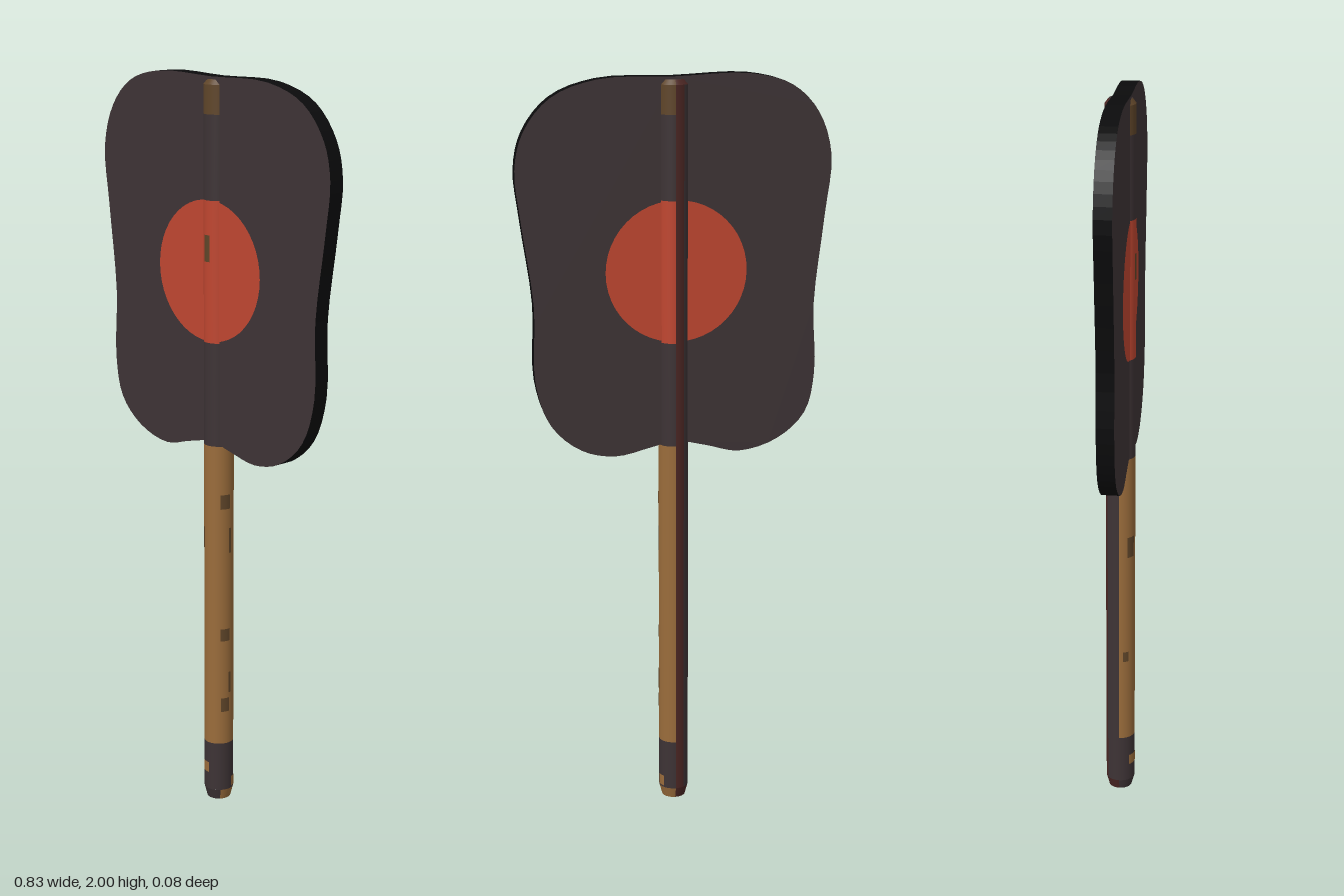
import * as THREE from 'three';

const PI = Math.PI;
const material = (name, color, side = THREE.FrontSide) => {
  const m = new THREE.MeshStandardMaterial({ color, side });
  m.name = name;
  return m;
};

export function createModel() {
  const group = new THREE.Group();
  const charcoal = material('charcoal lacquer', 0x3d3335);
  const black = material('black edge', 0x0b0b0c);
  const red = material('vermilion', 0xbf4630);
  const wood = material('golden wood', 0x9a6c3b);
  const brown = material('worn brown', 0x5f4529);
  const maroon = material('dark maroon', 0x4b2623);

  const add = (name, geometry, mat, x = 0, y = 0, z = 0) => {
    const mesh = new THREE.Mesh(geometry, mat);
    mesh.name = name;
    mesh.position.set(x, y, z);
    group.add(mesh);
    return mesh;
  };

  // Fan paddle: wavy outline, slightly thick, with a black rim
  const outline = [
    [-0.2, 2.0], [0, 1.995], [0.2, 1.99], [0.32, 1.945], [0.39, 1.86], [0.413, 1.765],
    [0.4, 1.635], [0.37, 1.41], [0.37, 1.21], [0.33, 1.09], [0.25, 1.02], [0.16, 1.0],
    [0.065, 1.02], [0, 1.035], [-0.085, 1.02], [-0.175, 1.0], [-0.28, 1.03], [-0.355, 1.1],
    [-0.38, 1.21], [-0.375, 1.395], [-0.4, 1.63], [-0.415, 1.79], [-0.38, 1.9], [-0.31, 1.97],
  ].map(([x, y]) => new THREE.Vector3(x, y, 0));
  const curve = new THREE.CatmullRomCurve3(outline, true, 'centripetal');
  const shape = new THREE.Shape(curve.getPoints(96).slice(0, -1).map((p) => new THREE.Vector2(p.x, p.y)));
  const back = -0.019, front = 0.027;
  add('paddle', new THREE.ExtrudeGeometry(shape, { depth: front - back, bevelEnabled: false }),
    [charcoal, black], 0, 0, back);

  // Painted discs on both faces
  const disc = new THREE.CircleGeometry(0.187, 48);
  add('frontDisc', disc, red, -0.01, 1.493, front + 0.001);
  add('backDisc', disc, red, -0.005, 1.493, back - 0.001).rotation.y = PI;

  // Pole pieces: arcs of a cylinder, angle 0 faces front and grows towards +x
  const R = 0.04;
  const arc = (name, mat, y0, y1, a0, a1, r0 = R, r1 = r0) => add(name,
    new THREE.CylinderGeometry(r1, r0, y1 - y0, Math.max(3, Math.ceil((a1 - a0) / 0.16)), 1, true, a0, a1 - a0),
    mat, 0, (y0 + y1) / 2, 0);

  // Main side of the pole, in painted bands from foot to tip
  const a0 = -PI / 2, a1 = PI;
  arc('footBand', charcoal, 0.03, 0.17, a0, a1);
  arc('handle', wood, 0.17, 1.025, a0, a1);
  arc('lowerSpine', charcoal, 1.025, 1.305, a0, a1);
  arc('discSpine', red, 1.305, 1.68, a0, a1);
  arc('upperSpine', charcoal, 1.68, 1.9, a0, a1);
  arc('wornTip', brown, 1.9, 1.975, a0, a1);

  // Dark stained strip down the back right quarter
  const split = PI + 0.6, end = PI * 1.5;
  arc('maroonStain', maroon, 0.03, 1.975, PI, split);
  arc('darkStain', charcoal, 0.03, 1.975, split, end);

  // Chamfered ends and caps
  arc('footChamferFront', charcoal, 0, 0.03, a0, 0.9, 0.032, R);
  arc('footChamferSide', wood, 0, 0.03, 0.9, PI, 0.032, R);
  arc('footChamferBack', maroon, 0, 0.03, PI, end, 0.032, R);
  arc('tipChamfer', brown, 1.975, 1.988, a0, a1, R, 0.03);
  arc('tipChamferBack', maroon, 1.975, 1.988, PI, end, R, 0.03);
  add('footCap', new THREE.CircleGeometry(0.032, 32), brown).rotation.x = PI / 2;
  add('tipCap', new THREE.CircleGeometry(0.03, 32), charcoal, 0, 1.988, 0).rotation.x = -PI / 2;

  // Worn patches: material, angle, angular width, centre height, height
  [
    [brown, -0.7, 0.6, 0.765, 0.06], [brown, -1.1, 0.4, 0.43, 0.03],
    [brown, 1.25, 0.7, 0.87, 0.04], [brown, 1.25, 0.7, 0.49, 0.035],
    [brown, 1.25, 0.6, 0.285, 0.04], [brown, 1.6, 0.2, 0.76, 0.07],
    [brown, 1.6, 0.2, 0.35, 0.06], [brown, -0.1, 0.5, 1.555, 0.07],
    [wood, -0.4, 0.9, 0.095, 0.03], [wood, 2.0, 0.5, 0.05, 0.03],
  ].forEach(([mat, a, w, y, h]) => arc('wornPatch', mat, y - h / 2, y + h / 2, a - w / 2, a + w / 2, R + 0.001));

  return group;
}
